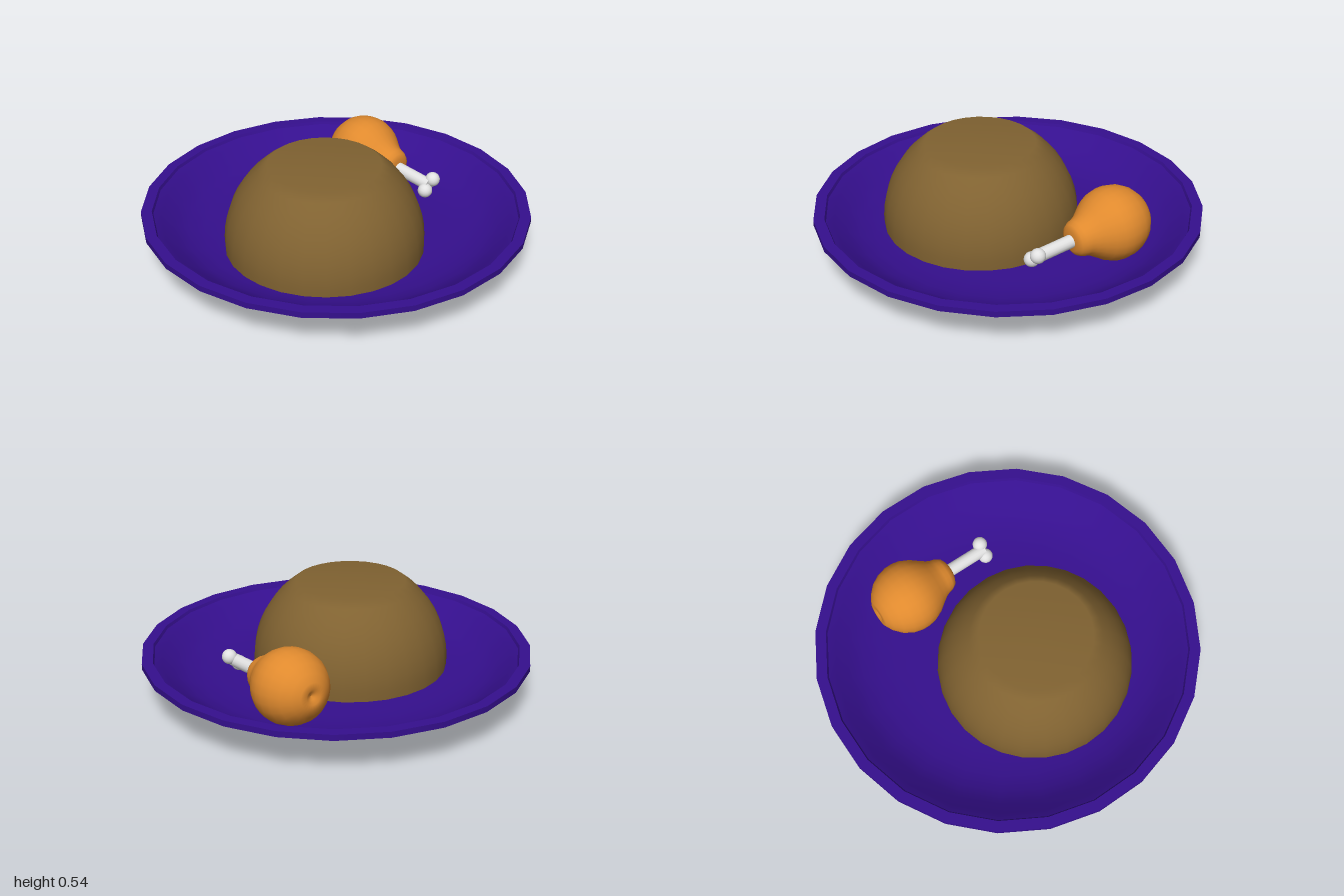
import * as THREE from 'three';

const mat = (name, color) => new THREE.MeshStandardMaterial({ name, color });

export function createModel() {
  const purple = mat('purple glaze', 0x350f8e);
  const brown = mat('brown crust', 0x806231);
  const orange = mat('roast orange', 0xe08a2e);
  const white = mat('bone white', 0xe2e2e2);

  const add = (parent, name, geometry, material) => {
    const mesh = new THREE.Mesh(geometry, material);
    mesh.name = name;
    parent.add(mesh);
    return mesh;
  };
  const lathe = (profile, sides) =>
    new THREE.LatheGeometry(profile.map(([r, y]) => new THREE.Vector2(r, y)), sides);

  const model = new THREE.Group();
  model.name = 'plateOfFood';

  // Plate: one closed profile, split where the edges are sharp
  const plate = new THREE.Group();
  plate.name = 'plate';
  model.add(plate);
  const sections = {
    underside: [[0, 0.035], [0.27, 0.035], [0.28, 0.03], [0.56, 0.03]],
    footInside: [[0.56, 0.03], [0.57, 0]],
    footBottom: [[0.57, 0], [0.6, 0]],
    footOutside: [[0.6, 0], [0.6, 0.033]],
    bowlOutside: [[0.6, 0.033], [0.7, 0.055], [0.8, 0.1], [0.87, 0.148], [0.92, 0.185], [0.96, 0.198], [1, 0.205]],
    rimEdge: [[1, 0.205], [1, 0.235]],
    rimTop: [[1, 0.235], [0.945, 0.235]],
    rimStep: [[0.945, 0.235], [0.938, 0.22]],
    bowlInside: [[0.938, 0.22], [0.9, 0.198], [0.84, 0.152], [0.77, 0.115], [0.69, 0.093], [0.6, 0.083], [0.5, 0.08], [0, 0.08]],
  };
  for (const [name, profile] of Object.entries(sections)) {
    add(plate, name, lathe(profile, 24), purple);
  }

  // Loaf: sphere resting in the plate, cut flat on top
  const R = 0.51, cy = 0.117, steps = 9;
  const loafProfile = [];
  for (let i = 0; i <= steps; i++) {
    const a = THREE.MathUtils.lerp(-0.09, Math.acos(0.285 / R), i / steps);
    loafProfile.push([R * Math.cos(a), cy + R * Math.sin(a)]);
  }
  loafProfile.push([0, 0.54]);
  add(model, 'loaf', lathe(loafProfile, 28), brown).position.set(0.01, 0, 0.163);

  // Drumstick: modelled along y, then laid down on the plate
  const drumstick = new THREE.Group();
  drumstick.name = 'drumstick';
  drumstick.position.set(-0.085, 0.25, -0.57);
  drumstick.quaternion.setFromUnitVectors(
    new THREE.Vector3(0, 1, 0), new THREE.Vector3(0.455, -0.032, 0.178).normalize());
  model.add(drumstick);

  // Meat with a dimpled end and a thick cuff round the bone
  const meat = [
    [0, -0.16], [0.02, -0.168], [0.04, -0.182], [0.07, -0.178], [0.11, -0.155], [0.15, -0.117],
    [0.177, -0.07], [0.189, -0.02], [0.19, 0.02], [0.183, 0.06], [0.163, 0.105], [0.134, 0.145],
    [0.11, 0.18], [0.099, 0.205], [0.093, 0.23], [0.08, 0.252], [0.055, 0.266], [0, 0.268],
  ];
  add(drumstick, 'meat', lathe(meat, 24), orange);

  // Bone with two knuckles
  add(drumstick, 'boneShaft', new THREE.CylinderGeometry(0.034, 0.034, 0.28, 16), white)
    .position.y = 0.35;
  for (const side of [-1, 1]) {
    add(drumstick, 'boneKnuckle', new THREE.SphereGeometry(0.039, 16, 12), white)
      .position.set(side * 0.012, 0.485, side * 0.034);
  }

  return model;
}
